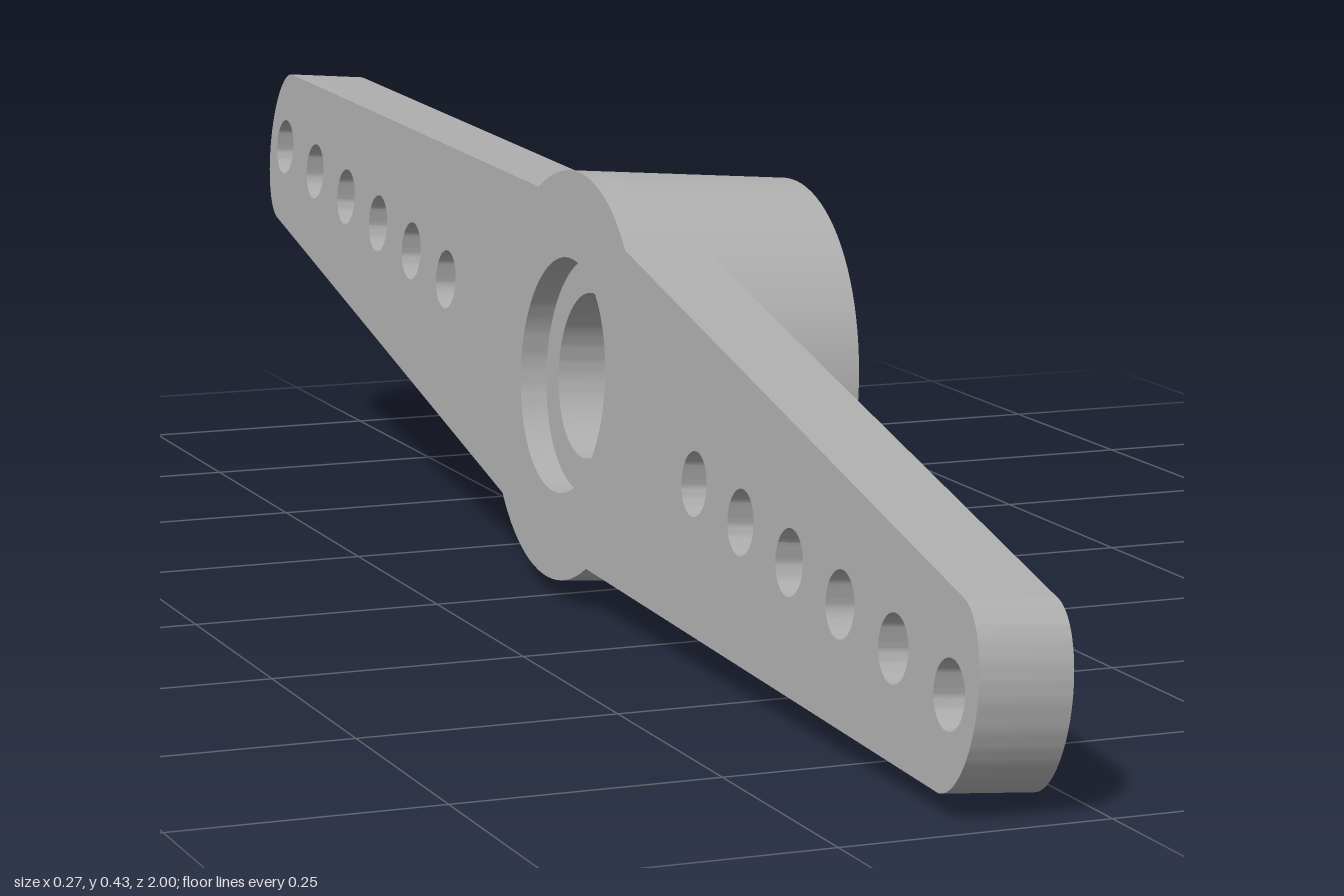
import * as THREE from 'three';
import { toCreasedNormals } from 'three/addons/utils/BufferGeometryUtils.js';

const HUB_R = 0.205, HUB_LEN = 0.233, ARM_THICK = 0.087;

const circlePath = (x, y, r) => new THREE.Path().absarc(x, y, r, 0, Math.PI * 2, true);

// Zigzag bore outline for the toothed socket
function splinePath(teeth, rInner, rOuter) {
  const points = [];
  for (let i = 0; i < teeth * 2; i++) {
    const a = -(i / (teeth * 2)) * Math.PI * 2;
    const r = i % 2 ? rInner : rOuter;
    points.push(new THREE.Vector2(Math.cos(a) * r, Math.sin(a) * r));
  }
  return new THREE.Path(points);
}

export function createModel() {
  const plastic = new THREE.MeshStandardMaterial({ color: 0xb0b0b0 });
  plastic.name = 'grey plastic';

  // Local frame: x along the arm, z along the hub axis
  const horn = new THREE.Group();
  horn.name = 'horn';

  function addPart(name, shape, from, to, curveSegments) {
    const geometry = new THREE.ExtrudeGeometry(shape, {
      depth: to - from, bevelEnabled: false, curveSegments,
    });
    geometry.translate(0, 0, from - HUB_LEN / 2);
    const mesh = new THREE.Mesh(toCreasedNormals(geometry, 0.5), plastic);
    mesh.name = name;
    horn.add(mesh);
    return mesh;
  }

  // Hub: screw recess at the back, web with through hole, toothed socket in front
  function addRing(name, hole, from, to) {
    const shape = new THREE.Shape().absarc(0, 0, HUB_R, 0, Math.PI * 2, false);
    shape.holes.push(hole);
    addPart(name, shape, from, to, 48);
  }
  addRing('screwRecess', circlePath(0, 0, 0.118), 0, 0.028);
  addRing('hubWeb', circlePath(0, 0, 0.083), 0.028, 0.1);
  addRing('toothedSocket', splinePath(42, 0.127, 0.14), 0.1, HUB_LEN);

  // Two tapered arms with a row of holes, the second turned half round
  for (let side = 0; side < 2; side++) {
    const arm = new THREE.Shape();
    arm.moveTo(0.12, -0.163);
    arm.lineTo(0.95, -0.086);
    arm.absellipse(0.95, 0, 0.057, 0.086, -Math.PI / 2, Math.PI / 2, false, 0);
    arm.lineTo(0.12, 0.163);
    for (let i = 0; i < 6; i++) arm.holes.push(circlePath(0.952 - i * 0.1175, 0, 0.031));
    const mesh = addPart(side ? 'frontArm' : 'backArm', arm, 0, ARM_THICK, 20);
    mesh.rotation.z = side * Math.PI;
  }

  // Swing the arms, turn the hub axis to the side, then lean the whole horn
  horn.rotation.z = 0.1248;
  const turned = new THREE.Group();
  turned.name = 'turnedHorn';
  turned.rotation.y = Math.PI / 2;
  turned.add(horn);
  const leaning = new THREE.Group();
  leaning.name = 'leaningHorn';
  leaning.rotation.z = -0.0815;
  leaning.position.y = 0.214;
  leaning.add(turned);

  const model = new THREE.Group();
  model.name = 'doubleArmHorn';
  model.add(leaning);
  return model;
}
